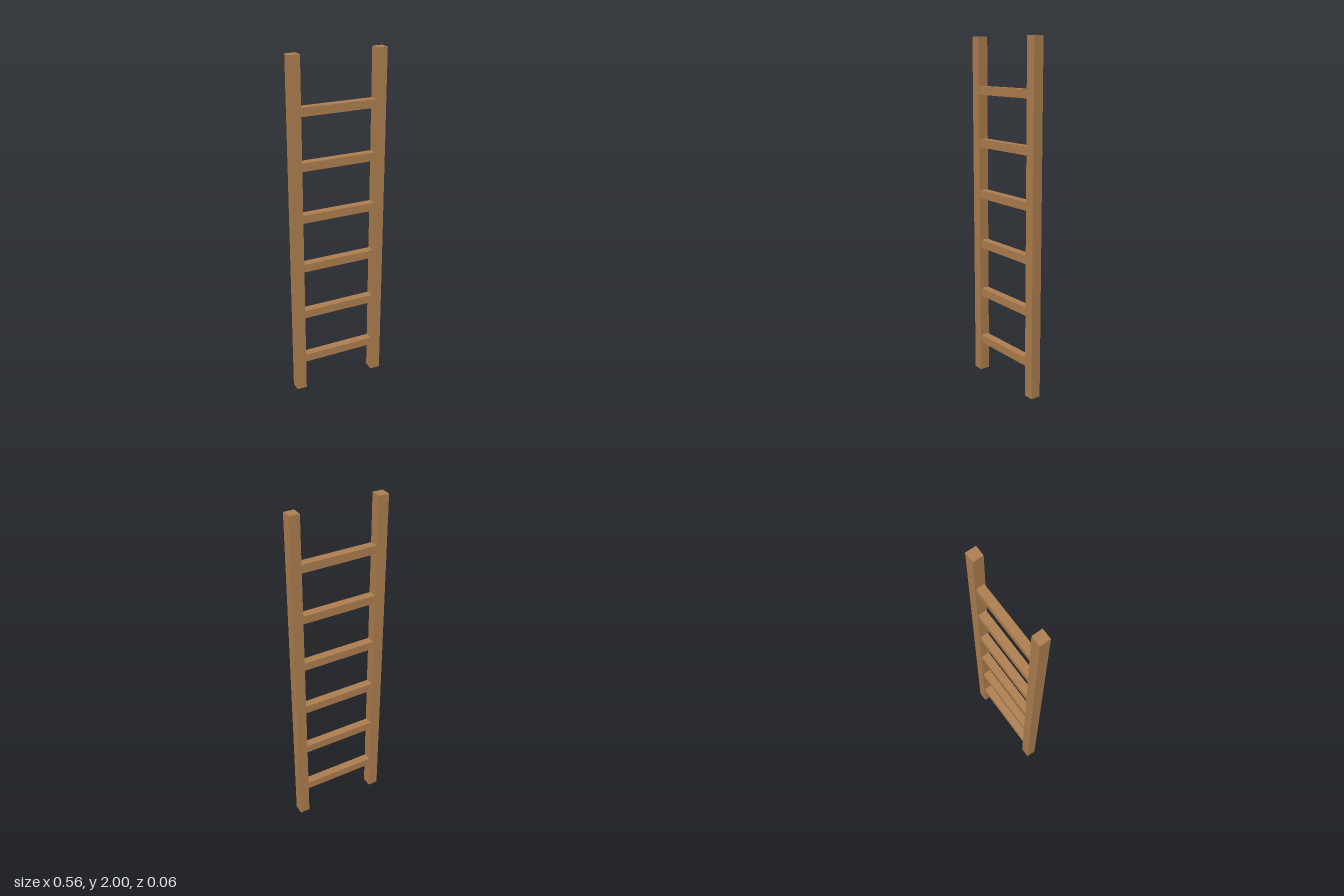
import * as THREE from 'three';

export function createModel() {
  const ladder = new THREE.Group();
  ladder.name = 'ladder';
  const wood = new THREE.MeshStandardMaterial({ color: 0xb08050 });
  wood.name = 'wood';

  const addBeam = (name, width, height, depth, x, y) => {
    const beam = new THREE.Mesh(new THREE.BoxGeometry(width, height, depth), wood);
    beam.name = name;
    beam.position.set(x, y, 0);
    ladder.add(beam);
  };

  // Two upright rails
  addBeam('leftRail', 0.06, 2, 0.06, 0.25, 1);
  addBeam('rightRail', 0.06, 2, 0.06, -0.25, 1);

  // Six evenly spaced rungs between the rails
  for (let i = 0; i < 6; i++) {
    addBeam(`rung${i + 1}`, 0.44, 0.048, 0.048, 0, 0.202 + i * 0.3);
  }
  return ladder;
}
